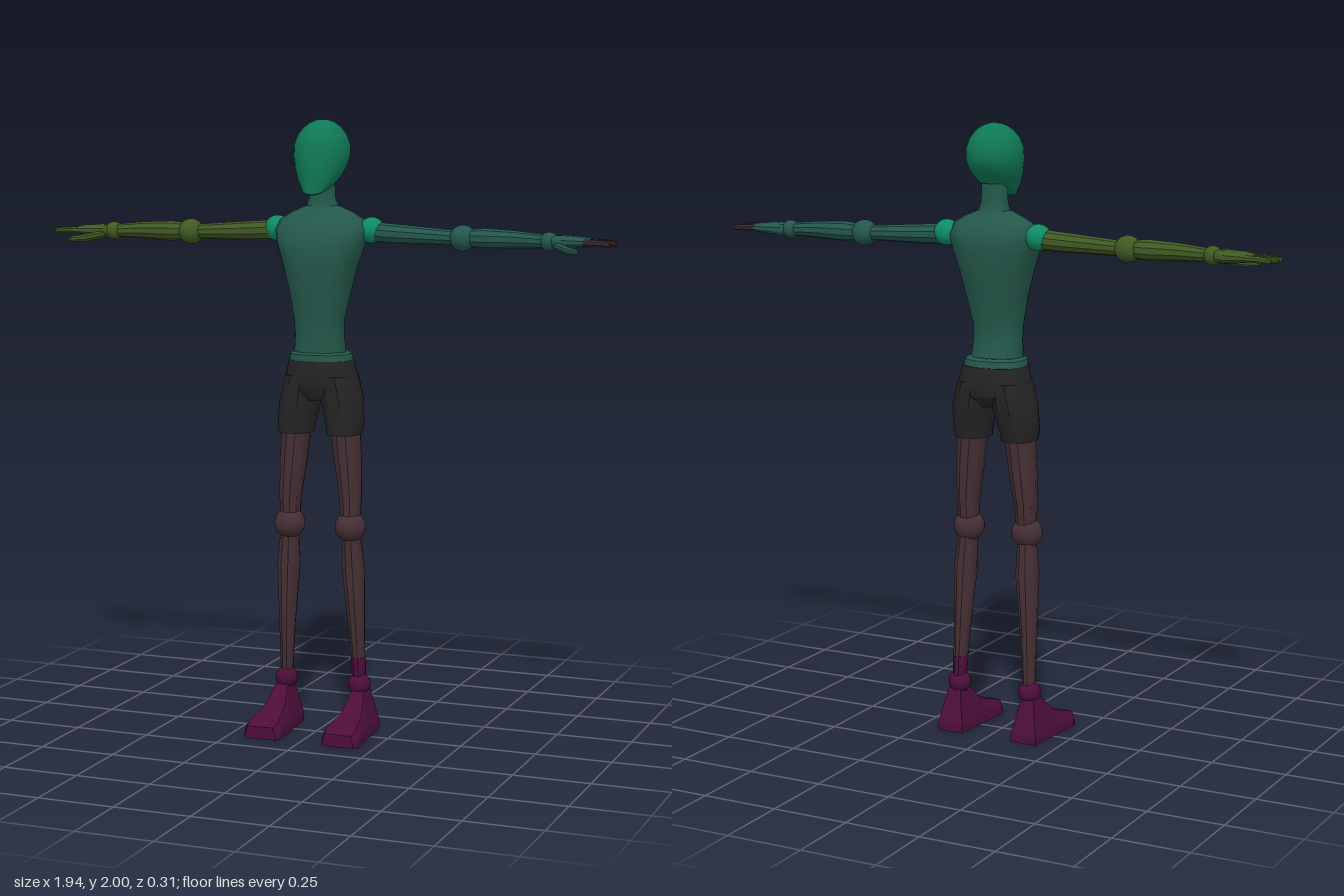
import * as THREE from 'three';
import { toCreasedNormals } from 'three/addons/utils/BufferGeometryUtils.js';
import { ConvexGeometry } from 'three/addons/geometries/ConvexGeometry.js';

const paint = (name, color) => {
  const m = new THREE.MeshStandardMaterial({ color });
  m.name = name;
  return m;
};

// Closed loft upward along y. Ring: [y, centreX, centreZ, radiusX, radiusZ, drop at the front]
function loft(rings, sides = 12, power = 1, crease = 0.6) {
  const pos = [], index = [];
  const bend = (v) => Math.sign(v) * Math.abs(v) ** power;
  for (const [y, cx, cz, rx, rz, tilt = 0] of rings) {
    for (let i = 0; i < sides; i++) {
      const a = ((i + 0.5) / sides) * Math.PI * 2;
      const s = bend(Math.sin(a)), c = bend(Math.cos(a));
      pos.push(cx + rx * s, y - tilt * c, cz + rz * c);
    }
  }
  const last = rings.length - 1;
  for (let r = 0; r < last; r++) {
    for (let i = 0; i < sides; i++) {
      const j = (i + 1) % sides, a = r * sides, b = a + sides;
      index.push(a + i, a + j, b + j, a + i, b + j, b + i);
    }
  }
  // end caps
  for (const r of [0, last]) {
    const k = pos.length / 3, a = r * sides;
    pos.push(rings[r][1], rings[r][0], rings[r][2]);
    for (let i = 0; i < sides; i++) {
      const j = (i + 1) % sides;
      if (r === 0) index.push(k, a + j, a + i);
      else index.push(k, a + i, a + j);
    }
  }
  const g = new THREE.BufferGeometry();
  g.setAttribute('position', new THREE.Float32BufferAttribute(pos, 3));
  g.setIndex(index);
  return toCreasedNormals(g, crease);
}

export function createModel() {
  const model = new THREE.Group();
  model.name = 'figure';
  const headGreen = paint('head green', 0x0f7855);
  const jointGreen = paint('shoulder green', 0x0f8c66);
  const shirtTeal = paint('shirt teal', 0x24584a);
  const armTeal = paint('arm teal', 0x24574d);
  const olive = paint('olive', 0x405a24);
  const charcoal = paint('charcoal', 0x252525);
  const legBrown = paint('leg brown', 0x452f35);
  const fingerBrown = paint('finger brown', 0x3a2a2e);
  const plum = paint('plum', 0x4d0e3a);

  const add = (parent, name, geometry, material, x = 0, y = 0, z = 0) => {
    const mesh = new THREE.Mesh(geometry, material);
    mesh.name = name;
    mesh.position.set(x, y, z);
    parent.add(mesh);
    return mesh;
  };
  const ball = (r) => new THREE.SphereGeometry(r, 24, 16);

  // Head: egg with a flat face and a jaw that slopes down to the chin
  add(model, 'head', loft([
    [1.778, 0, -0.015, 0.03, 0.058, 0.018],
    [1.79, 0, -0.02, 0.05, 0.072, 0.026],
    [1.82, 0, -0.034, 0.07, 0.088, 0.02],
    [1.85, 0, -0.044, 0.082, 0.1, 0.012],
    [1.885, 0, -0.05, 0.089, 0.105, 0.004],
    [1.92, 0, -0.052, 0.088, 0.103],
    [1.95, 0, -0.053, 0.077, 0.092],
    [1.975, 0, -0.054, 0.058, 0.071],
    [1.991, 0, -0.055, 0.036, 0.045],
    [1.998, 0, -0.055, 0.017, 0.021],
    [2.0, 0, -0.055, 0.002, 0.002],
  ], 32, 1, 0.9), headGreen);

  // Shirt body and neck
  add(model, 'torso', loft([
    [1.25, 0, -0.035, 0.085, 0.073],
    [1.31, 0, -0.03, 0.08, 0.066],
    [1.36, 0, -0.026, 0.082, 0.069],
    [1.45, 0, -0.034, 0.1, 0.086],
    [1.53, 0, -0.035, 0.12, 0.1],
    [1.6, 0, -0.041, 0.144, 0.107],
    [1.645, 0, -0.049, 0.155, 0.098],
    [1.68, 0, -0.053, 0.14, 0.079],
    [1.705, 0, -0.055, 0.1, 0.055],
    [1.725, 0, -0.055, 0.052, 0.042],
    [1.75, 0, -0.054, 0.042, 0.04],
    [1.81, 0, -0.052, 0.04, 0.039],
  ], 16, 0.85), shirtTeal);
  add(model, 'shirtHem', loft([
    [1.222, 0, -0.045, 0.106, 0.09],
    [1.25, 0, -0.042, 0.1, 0.086],
    [1.257, 0, -0.04, 0.09, 0.078],
  ], 16, 0.85), shirtTeal);

  // Shorts
  add(model, 'shortsHips', loft([
    [1.1, 0, -0.045, 0.05, 0.065],
    [1.135, 0, -0.05, 0.118, 0.09],
    [1.18, 0, -0.05, 0.117, 0.096],
    [1.23, 0, -0.046, 0.105, 0.091],
  ], 16, 0.8), charcoal);

  for (const s of [1, -1]) {
    const side = s > 0 ? 'left' : 'right';

    // Leg with ball knee and ankle
    const leg = new THREE.Group();
    leg.name = side + 'Leg';
    model.add(leg);
    add(leg, 'shortsLeg', loft([
      [0.99, s * 0.083, -0.038, 0.055, 0.068],
      [1.02, s * 0.084, -0.04, 0.06, 0.073],
      [1.1, s * 0.072, -0.05, 0.065, 0.09],
      [1.18, s * 0.058, -0.05, 0.057, 0.092],
    ], 12, 0.85), charcoal);
    add(leg, 'thigh', loft([
      [0.7, s * 0.105, -0.035, 0.032, 0.036],
      [0.78, s * 0.105, -0.038, 0.037, 0.042],
      [0.9, s * 0.095, -0.042, 0.046, 0.05],
      [1.02, s * 0.084, -0.043, 0.05, 0.053],
    ], 10), legBrown);
    add(leg, 'knee', ball(0.051), legBrown, s * 0.106, 0.686, -0.032);
    add(leg, 'shin', loft([
      [0.18, s * 0.128, -0.06, 0.02, 0.024],
      [0.35, s * 0.122, -0.051, 0.027, 0.033],
      [0.55, s * 0.113, -0.042, 0.038, 0.043],
      [0.68, s * 0.107, -0.035, 0.029, 0.034],
    ], 10), legBrown);
    add(leg, 'ankle', ball(0.037), plum, s * 0.129, 0.16, -0.058);
    if (s > 0) {
      add(leg, 'ankleCuff', loft([
        [0.17, 0.128, -0.06, 0.022, 0.026],
        [0.25, 0.126, -0.056, 0.024, 0.03],
      ], 10), plum);
    }

    // Foot: heel and toe wedges, points given as [half width, y, z]
    const hull = (points) => new ConvexGeometry(points.flatMap(([w, y, z]) =>
      [new THREE.Vector3(w, y, z), new THREE.Vector3(-w, y, z)]));
    add(leg, 'heel', hull([
      [0.045, 0, -0.115], [0.045, 0.025, -0.115], [0.056, 0, 0.04], [0.054, 0.035, 0.04],
      [0.036, 0.078, 0.035], [0.022, 0.14, -0.03], [0.022, 0.14, -0.085],
    ]), plum, s * 0.135);
    add(leg, 'toes', hull([
      [0.056, 0, 0.035], [0.054, 0.035, 0.035], [0.036, 0.078, 0.035],
      [0.065, 0, 0.13], [0.064, 0.028, 0.13], [0.05, 0.05, 0.13],
      [0.055, 0, 0.158], [0.045, 0.04, 0.156],
    ]), plum, s * 0.135);

    // Arm built along local y, then turned outward
    const skin = s > 0 ? armTeal : olive;
    const arm = new THREE.Group();
    arm.name = side + 'Arm';
    arm.rotation.z = -s * Math.PI / 2;
    arm.position.set(0, 1.63, -0.068);
    model.add(arm);
    add(model, side + 'Shoulder', ball(0.042), jointGreen, s * 0.163, 1.648, -0.07);
    add(arm, 'upperArm', loft([
      [0.17, -s * 0.012, 0, 0.033, 0.033],
      [0.24, -s * 0.008, 0, 0.032, 0.032],
      [0.45, 0, 0, 0.024, 0.024],
    ], 10), skin);
    add(arm, 'elbow', ball(0.042), skin, 0, 0.47, 0);
    add(arm, 'forearm', loft([
      [0.48, 0, 0, 0.027, 0.027],
      [0.54, 0, 0, 0.033, 0.033],
      [0.64, 0, 0, 0.028, 0.027],
      [0.75, s * 0.004, 0, 0.021, 0.021],
    ], 10), skin);
    add(arm, 'wrist', ball(0.03), skin, s * 0.004, 0.752, 0);
    add(arm, 'palm', loft([
      [0.755, s * 0.004, 0, 0.019, 0.022],
      [0.8, s * 0.004, -0.002, 0.021, 0.042],
      [0.85, s * 0.003, -0.002, 0.017, 0.047],
      [0.89, s * 0.003, -0.002, 0.011, 0.043],
    ], 12, 0.8), skin);

    // Fingers and thumb
    [0.955, 0.968, 0.972, 0.958].forEach((tip, i) => {
      const z = -0.035 + i * 0.022;
      add(arm, 'finger', loft([
        [0.872, s * 0.003, z, 0.0115, 0.0115],
        [0.92, s * 0.004, z, 0.0105, 0.0105],
        [tip - 0.006, s * 0.007, z, 0.009, 0.009],
        [tip, s * 0.008, z, 0.004, 0.004],
      ], 8), s > 0 ? fingerBrown : olive);
    });
    add(arm, 'thumb', loft([
      [0.775, s * 0.014, 0.018, 0.014, 0.014],
      [0.825, s * 0.026, 0.052, 0.0135, 0.016],
      [0.862, s * 0.029, 0.085, 0.01, 0.01],
      [0.874, s * 0.03, 0.098, 0.004, 0.004],
    ], 8), skin);
  }
  return model;
}
